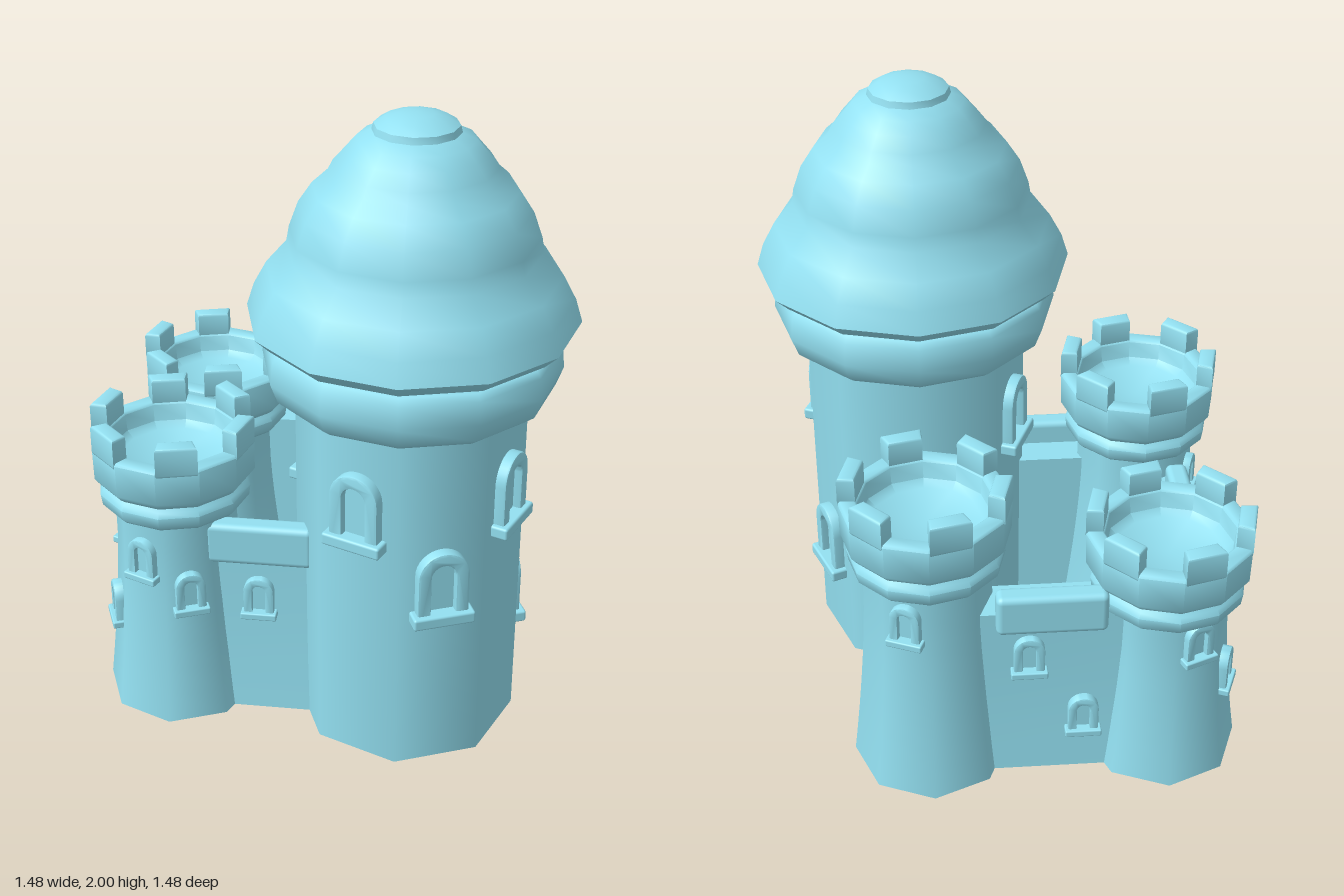
import * as THREE from 'three';
import { toCreasedNormals } from 'three/addons/utils/BufferGeometryUtils.js';
import { RoundedBoxGeometry } from 'three/addons/geometries/RoundedBoxGeometry.js';

const material = new THREE.MeshStandardMaterial({ color: 0x93e0f1, side: THREE.DoubleSide });
const rad = THREE.MathUtils.degToRad;

function part(name, geometry, parent) {
  const mesh = new THREE.Mesh(geometry, material);
  mesh.name = name;
  parent.add(mesh);
  return mesh;
}

function lathe(points, sides) {
  return new THREE.LatheGeometry(points.map(([r, y]) => new THREE.Vector2(r, y)), sides);
}

// Shape with straight sides and a round head, standing on y = base
function archShape(width, height, base = 0) {
  const r = width / 2;
  const s = new THREE.Shape();
  s.moveTo(-r, base);
  s.lineTo(r, base);
  s.lineTo(r, height - r);
  s.absarc(0, height - r, r, 0, Math.PI, false);
  s.lineTo(-r, base);
  return s;
}

// Arched frame, recessed pane and optional sill, facing local +z
function arch(name, width, height, border, depth, hasSill) {
  const group = new THREE.Group();
  group.name = name;
  const bevel = depth * 0.2;
  const frame = archShape(width - 2 * bevel, height - bevel);
  frame.holes.push(archShape(width - 2 * border, height - border, border * 0.6));
  part('frame', toCreasedNormals(new THREE.ExtrudeGeometry(frame, {
    depth: depth + 0.03 - bevel, bevelSize: bevel, bevelThickness: bevel, bevelSegments: 2, curveSegments: 8,
  }), 0.7), group).position.z = -0.03;
  part('pane', new THREE.ShapeGeometry(archShape(width - border, height - border / 2), 8), group).position.z = depth * 0.25;
  if (hasSill) {
    const h = height * 0.16;
    part('sill', new RoundedBoxGeometry(width * 1.2, h, depth * 1.5 + 0.03, 2, h * 0.2), group)
      .position.set(0, h / 2, depth * 0.75 - 0.015);
  }
  return group;
}

// Turns a window or door to look along an angle measured from +x to +z
function place(object, x, y, z, angle, parent) {
  object.position.set(x, y, z);
  object.rotation.y = Math.PI / 2 - rad(angle);
  parent.add(object);
}

// Domed main tower
function mainTower() {
  const tower = new THREE.Group();
  tower.name = 'mainTower';
  part('body', lathe([[0.35, 0.01], [0.35, 0.6], [0.35, 1.2]], 8), tower);
  part('collar', toCreasedNormals(lathe([
    [0.3, 1.155], [0.4, 1.16], [0.425, 1.18], [0.447, 1.24], [0.44, 1.31], [0.425, 1.33], [0.36, 1.335],
  ], 12), 0.95), tower);
  part('roof', toCreasedNormals(lathe([
    [0.36, 1.335], [0.425, 1.34], [0.45, 1.35], [0.49, 1.39], [0.468, 1.46], [0.43, 1.53], [0.37, 1.6],
    [0.362, 1.645], [0.335, 1.72], [0.295, 1.78], [0.25, 1.82],
    [0.235, 1.85], [0.2, 1.89], [0.17, 1.925], [0.127, 1.945],
    [0.122, 1.965], [0.09, 1.985], [0.05, 1.996], [0, 2],
  ], 12), 0.75), tower);
  const windows = [[112.5, 0.77], [67.5, 0.53], [22.5, 0.77], [-22.5, 0.29], [202.5, 0.77], [247.5, 0.53]];
  for (const [angle, y] of windows) {
    const a = rad(angle);
    place(arch('window', 0.16, 0.245, 0.035, 0.035, true), 0.323 * Math.cos(a), y, 0.323 * Math.sin(a), angle, tower);
  }
  tower.position.set(0.25, 0, 0.245);
  return tower;
}

// Corner tower with a flared foot and a crown of six merlons
function cornerTower(name, x, z, top, windows) {
  const tower = new THREE.Group();
  tower.name = name;
  const neck = top - 0.3;
  const radiusAt = (y) => 0.195 + 0.053 * Math.pow(Math.max(0, 1 - y / (neck * 0.85)), 1.5);
  const profile = [];
  for (let i = 0; i <= 8; i++) {
    const y = 0.01 + (neck + 0.01) * i / 8;
    profile.push([radiusAt(y), y]);
  }
  part('body', lathe(profile, 8), tower);

  const crown = [
    [0.17, -0.305], [0.22, -0.3], [0.235, -0.285], [0.24, -0.25], [0.23, -0.235], [0.222, -0.225],
    [0.24, -0.21], [0.255, -0.19], [0.257, -0.085], [0.25, -0.078], [0.208, -0.078], [0.2, -0.085],
    [0.195, -0.14], [0.17, -0.16], [0, -0.165],
  ];
  part('crown', toCreasedNormals(lathe(crown.map(([r, y]) => [r, top + y]), 12), 0.85), tower);

  const corner = (r, deg) => new THREE.Vector2(r * Math.cos(rad(deg)), r * Math.sin(rad(deg)));
  const section = new THREE.Shape([corner(0.212, -12.5), corner(0.248, -12.5), corner(0.248, 12.5), corner(0.212, 12.5)]);
  const merlon = new THREE.ExtrudeGeometry(section, { depth: 0.08, bevelSize: 0.009, bevelThickness: 0.01, bevelSegments: 2 });
  merlon.rotateX(-Math.PI / 2);
  const smoothMerlon = toCreasedNormals(merlon, 0.8);
  for (let i = 0; i < 6; i++) {
    const m = part('merlon', smoothMerlon, tower);
    m.position.y = top - 0.09;
    m.rotation.y = -rad(75 + i * 60);
  }

  for (const [angle, y] of windows) {
    const a = rad(angle);
    const r = radiusAt(y + 0.07) * Math.cos(Math.PI / 8);
    place(arch('window', 0.095, 0.145, 0.022, 0.025, true), r * Math.cos(a), y, r * Math.sin(a), angle, tower);
  }
  tower.position.set(x, 0, z);
  return tower;
}

// Curtain wall along local x, outer face on local +z, with an overhanging parapet
function wall(name, x, z, facing) {
  const group = new THREE.Group();
  group.name = name;
  const length = 0.5;
  const section = [[0.13, 0.01], [0.117, 0.2], [0.11, 0.4], [0.11, 0.62], [-0.03, 0.62], [-0.03, 0.01]];
  const sheet = new THREE.PlaneGeometry(length, 1, 1, section.length - 1);
  const p = sheet.attributes.position;
  for (let i = 0; i < p.count; i++) {
    const [depth, y] = section[section.length - 1 - Math.floor(i / 2)];
    p.setXYZ(i, p.getX(i), y, depth);
  }
  part('curtain', toCreasedNormals(sheet, 0.6), group);
  part('parapet', new RoundedBoxGeometry(0.34, 0.14, 0.07, 3, 0.02), group).position.set(0, 0.63, 0.108);
  place(group, x, 0, z, facing, group);
  return group;
}

export function createModel() {
  const castle = new THREE.Group();
  castle.name = 'castle';
  castle.add(mainTower());
  castle.add(cornerTower('frontTower', -0.485, 0.245, 1.02,
    [[112.5, 0.51], [67.5, 0.4], [157.5, 0.28], [202.5, 0.5]]));
  castle.add(cornerTower('sideTower', 0.25, -0.485, 1.06, [[-67.5, 0.58]]));
  castle.add(cornerTower('backTower', -0.485, -0.485, 0.91, [[247.5, 0.46], [202.5, 0.27]]));

  // Four walls: centre x, centre z, outward angle
  const walls = [
    ['frontWall', -0.2, 0.245, 90], ['sideWall', 0.25, -0.2, 0],
    ['backWall', -0.118, -0.485, 270], ['gateWall', -0.485, -0.12, 180],
  ];
  for (const [name, x, z, facing] of walls) {
    const group = new THREE.Group();
    group.name = name;
    const w = wall(name + 'Body', 0, 0, 90);
    group.add(...w.children);
    place(group, x, 0, z, facing, castle);
  }

  // Wall windows and the gate
  const openings = [[-0.205, 0.36, 0.355, 90], [-0.05, 0.39, -0.595, 270], [-0.22, 0.15, -0.603, 270],
    [-0.595, 0.38, -0.25, 180], [-0.595, 0.38, -0.03, 180]];
  for (const [x, y, z, angle] of openings) {
    place(arch('wallWindow', 0.095, 0.145, 0.022, 0.025, true), x, y, z, angle, castle);
  }
  place(arch('gate', 0.22, 0.36, 0.04, 0.045, false), -0.605, 0.01, -0.13, 180, castle);
  return castle;
}
